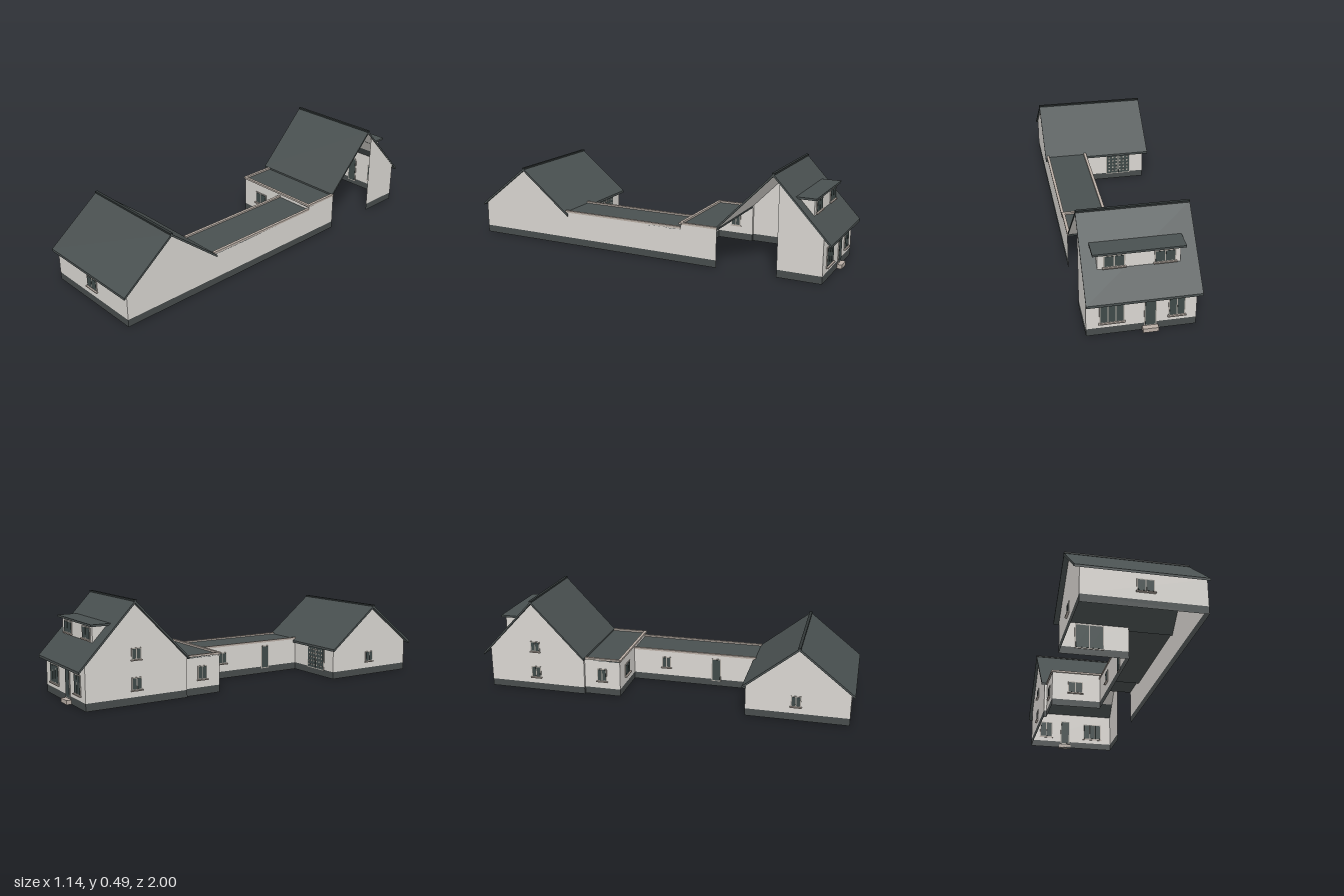
import * as THREE from 'three';

const paint = (name, color, side = THREE.FrontSide) => {
  const m = new THREE.MeshStandardMaterial({ color, side });
  m.name = name;
  return m;
};

export function createModel() {
  const wall = paint('wall render', 0xd9d6d1, THREE.DoubleSide);
  const plinth = paint('dark plinth', 0x474c4c, THREE.DoubleSide);
  const roof = paint('slate roof', 0x495050);
  const ridge = paint('ridge cap', 0x303636);
  const coping = paint('stone coping', 0xb9aea5);
  const frame = paint('window frame', 0xaaa59e);
  const glass = paint('dark glass', 0x3f4a49);

  const model = new THREE.Group();
  model.name = 'farmhouse';
  // the whole plan is turned on its plot
  model.rotation.y = -THREE.MathUtils.degToRad(17.8);
  const root = new THREE.Group();
  root.add(model);

  const add = (name, geo, mat, parent = model) => {
    const mesh = new THREE.Mesh(geo, mat);
    mesh.name = name;
    parent.add(mesh);
    return mesh;
  };
  const box = (name, mat, x, y, z, w, h, d, parent) =>
    add(name, new THREE.BoxGeometry(w, h, d).translate(x, y, z), mat, parent);

  // flat convex panel from its corners
  const panel = (name, mat, pts) => {
    const pos = [];
    for (let i = 1; i < pts.length - 1; i++) pos.push(...pts[0], ...pts[i], ...pts[i + 1]);
    const g = new THREE.BufferGeometry();
    g.setAttribute('position', new THREE.Float32BufferAttribute(pos, 3));
    g.computeVertexNormals();
    return add(name, g, mat);
  };
  // upright walls along a plan path of [x, z]
  const wallRun = (name, mat, path, y0, y1) => {
    for (let i = 0; i < path.length - 1; i++) {
      const [a, b] = [path[i], path[i + 1]];
      panel(name, mat, [[a[0], y0, a[1]], [b[0], y0, b[1]], [b[0], y1, b[1]], [a[0], y1, a[1]]]);
    }
  };
  // upright panel across x, outline in [z, y]
  const gable = (name, x, outline) => panel(name, wall, outline.map(([z, y]) => [x, y, z]));
  // wall-coloured lining under a roof slope
  const lining = (name, x0, x1, [za, ya], [zb, yb]) =>
    panel(name, wall, [[x0, ya, za], [x1, ya, za], [x1, yb, zb], [x0, yb, zb]]);

  // pitched roof slab: top line in [z, y] swept along x
  const pitchedRoof = (name, x0, x1, line) => {
    const t = 0.012;
    const pts = [...line, ...line.map(([z, y]) => [z, y - t]).reverse()];
    const shape = new THREE.Shape(pts.map(([z, y]) => new THREE.Vector2(-z, y)));
    const g = new THREE.ExtrudeGeometry(shape, { depth: x1 - x0, bevelEnabled: false });
    add(name, g.rotateY(Math.PI / 2).translate(x0, 0, 0), roof);
    const [z, y] = line[1];
    box(name + 'Ridge', ridge, (x0 + x1) / 2, y, z, x1 - x0, 0.008, 0.014);
  };

  // framed window seen from both sides of its wall, facing +z before turning
  const windowAt = (name, x, y, z, w, h, turn = 0, panes = 1, sill = true) => {
    const g = new THREE.Group();
    g.name = name;
    g.position.set(x, y, z);
    g.rotation.y = turn;
    model.add(g);
    const b = 0.005;
    box('windowFrame', frame, 0, 0, 0, w, h, 0.006, g);
    const pw = (w - b * (panes + 1)) / panes;
    for (let i = 0; i < panes; i++)
      box('pane', glass, -w / 2 + b + pw / 2 + i * (pw + b), 0, 0, pw, h - 2 * b, 0.009, g);
    if (sill) box('sill', coping, 0, -h / 2 - 0.002, 0.004, w + 0.008, 0.005, 0.014, g);
    return g;
  };
  const BACK = Math.PI, SIDE = -Math.PI / 2;

  // key plan lines
  const R = 0.289, H = 0.284, B = 0.037;
  const barnL = -0.264, barnF = 0.935, barnB = 0.427, barnRidge = 0.681;
  const linkL = 0.07, blockF = -0.235, blockL = -0.192, blockB = -0.425;
  const houseL = -0.207, houseB = -0.942, houseRidge = -0.697, openB = -0.726;

  // plinth round the whole outline, leaving the open bay on the right
  wallRun('plinth', plinth, [
    [R, blockB], [R, barnF], [barnL, barnF], [barnL, barnB], [linkL, barnB], [linkL, blockF],
    [blockL, blockF], [blockL, blockB], [houseL, blockB], [houseL, houseB], [H, houseB], [H, openB],
  ], 0, B);

  // barn
  const barnEave = 0.166, barnTop = 0.366;
  const barnEnd = [[barnF, B], [barnF, barnEave], [barnRidge, barnTop], [barnB, barnEave], [barnB, B]];
  gable('barnRightGable', R, barnEnd);
  gable('barnLeftGable', barnL, barnEnd);
  wallRun('barnFrontWall', wall, [[barnL, barnF], [R, barnF]], B, barnEave);
  wallRun('barnBackWall', wall, [[barnL, barnB], [linkL, barnB]], B, barnEave);
  for (const z of [barnF, barnB])
    lining('barnLining', barnL, R, [z, barnEave], [barnRidge, barnTop]);
  pitchedRoof('barnRoof', -0.289, 0.298, [[0.953, 0.163], [barnRidge, 0.378], [0.412, 0.163]]);
  windowAt('barnFrontWindow', 0.017, 0.105, barnF, 0.078, 0.06, 0, 2);
  windowAt('barnSideWindow', barnL, 0.1, 0.675, 0.05, 0.055, SIDE, 2);

  // barn door with a grid of small lights
  const door = windowAt('barnDoor', -0.12, 0.095, barnB, 0.14, 0.125, BACK, 2, false);
  for (let i = 0; i < 6; i++)
    for (let j = 0; j < 5; j++)
      box('doorLight', frame, -0.0525 + i * 0.021, -0.042 + j * 0.021, 0.0045, 0.008, 0.008, 0.004, door);

  // flat-roofed link
  wallRun('linkRightWall', wall, [[R, barnB], [R, blockF]], B, 0.172);
  wallRun('linkLeftWall', wall, [[linkL, barnB], [linkL, blockF]], B, 0.172);
  box('linkRoof', roof, (linkL + R) / 2, 0.168, (barnB + blockF) / 2, R - linkL, 0.008, barnB - blockF);
  for (const x of [linkL + 0.004, R - 0.005])
    box('linkCoping', coping, x, 0.175, (barnB + blockF) / 2, 0.014, 0.01, barnB - blockF);
  windowAt('linkWindow', linkL, 0.11, -0.055, 0.05, 0.06, SIDE, 2);
  windowAt('linkDoor', linkL, 0.09, 0.218, 0.05, 0.125, SIDE, 1, false);

  // flat-roofed block beside the house
  wallRun('blockRightWall', wall, [[R, blockF], [R, blockB]], B, 0.194);
  wallRun('blockFrontWall', wall, [[blockL, blockF], [linkL, blockF]], B, 0.194);
  wallRun('blockUpperWall', wall, [[linkL, blockF], [R, blockF]], 0.165, 0.194);
  wallRun('blockLeftWall', wall, [[blockL, blockF], [blockL, blockB], [houseL, blockB]], B, 0.194);
  const blockMid = (blockF + blockB) / 2, blockDepth = blockF - blockB;
  box('blockRoof', roof, (blockL + R) / 2, 0.188, blockMid, R - blockL, 0.008, blockDepth);
  for (const x of [blockL, R - 0.005])
    box('blockCoping', coping, x, 0.196, blockMid, 0.014, 0.01, blockDepth);
  box('blockFrontCoping', coping, (blockL + R) / 2, 0.196, blockF, R - blockL + 0.008, 0.01, 0.014);
  windowAt('blockFrontWindow', -0.065, 0.11, blockF, 0.08, 0.065, 0, 2);
  windowAt('blockSideWindow', blockL, 0.11, -0.332, 0.052, 0.068, SIDE, 2);

  // house
  const eaveB = 0.214, eaveF = 0.194, houseTop = 0.472;
  gable('houseLeftGable', houseL, [[houseB, B], [houseB, eaveB], [houseRidge, houseTop], [blockB, eaveF], [blockB, B]]);
  gable('houseRightGable', H, [[houseB, B], [houseB, eaveB], [openB, 0.441], [openB, B]]);
  wallRun('houseBackWall', wall, [[houseL, houseB], [H, houseB]], B, eaveB);
  lining('houseBackLining', houseL, H, [houseB, eaveB], [houseRidge, houseTop]);
  lining('houseFrontLining', houseL, H, [blockB, eaveF], [houseRidge, houseTop]);
  pitchedRoof('houseRoof', -0.224, 0.287, [[-0.978, 0.187], [houseRidge, 0.486], [-0.42, 0.201]]);
  windowAt('houseWideWindow', 0.17, 0.11, houseB, 0.11, 0.095, BACK, 3);
  windowAt('houseNarrowWindow', -0.118, 0.11, houseB, 0.075, 0.095, BACK, 2);
  windowAt('houseDoor', 0, 0.095, houseB, 0.055, 0.145, BACK, 1, false);
  box('doorStep', coping, 0, 0.01, houseB - 0.012, 0.07, 0.02, 0.024);
  windowAt('gableLowerWindow', houseL, 0.1, -0.69, 0.052, 0.06, SIDE, 2);
  windowAt('gableUpperWindow', houseL, 0.24, -0.69, 0.05, 0.055, SIDE, 2);

  // dormer
  const dormB = -0.875;
  wallRun('dormerWall', wall, [[-0.143, dormB], [0.222, dormB]], 0.285, 0.374);
  for (const x of [-0.143, 0.222])
    gable('dormerCheek', x, [[dormB, 0.285], [dormB, 0.374], [-0.795, 0.374]]);
  box('dormerRoof', roof, 0.04, 0.378, -0.84, 0.41, 0.01, 0.1);
  for (const x of [-0.075, 0.148])
    windowAt('dormerWindow', x, 0.335, dormB, 0.095, 0.06, BACK, 2);

  return root;
}
